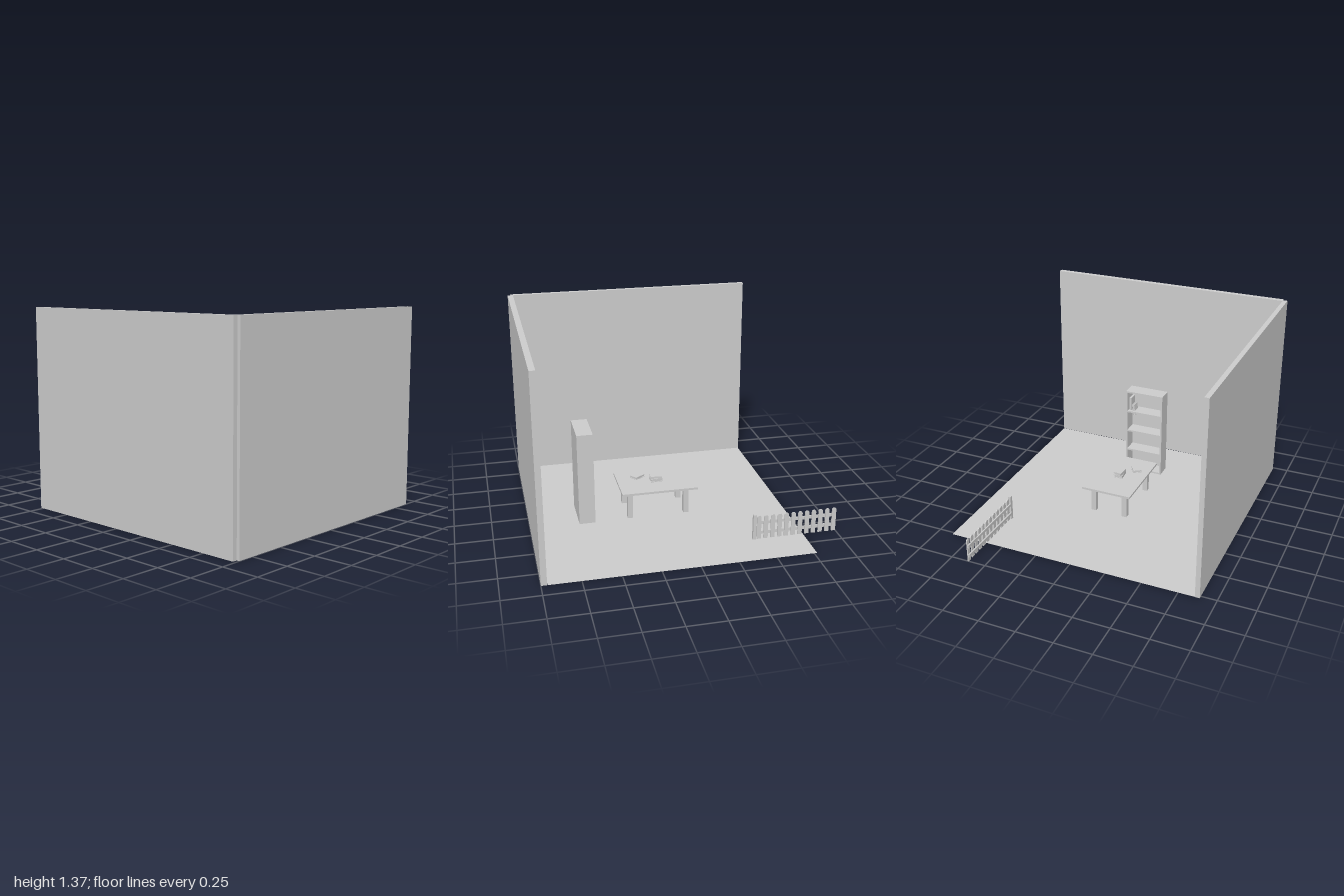
import * as THREE from 'three';

export function createModel() {
  const model = new THREE.Group();
  model.name = 'room';
  const grey = new THREE.MeshStandardMaterial({ color: 0xcccccc, side: THREE.DoubleSide });
  grey.name = 'plain grey';

  function group(name, parent = model) {
    const g = new THREE.Group();
    g.name = name;
    parent.add(g);
    return g;
  }
  function add(parent, name, geometry) {
    const m = new THREE.Mesh(geometry, grey);
    m.name = name;
    parent.add(m);
    return m;
  }
  // Box given by its minimum and maximum on each axis
  function box(parent, name, x0, x1, y0, y1, z0, z1) {
    const m = add(parent, name, new THREE.BoxGeometry(x1 - x0, y1 - y0, z1 - z0));
    m.position.set((x0 + x1) / 2, (y0 + y1) / 2, (z0 + z1) / 2);
    return m;
  }

  // Floor and two walls
  const floor = add(model, 'floor', new THREE.PlaneGeometry(1.755, 1.73).rotateX(-Math.PI / 2));
  floor.position.set(0.0145, 0, 0.095);
  box(model, 'sideWall', -0.893, -0.861, 0, 1.365, -0.772, 0.98);
  box(model, 'frontWall', -0.861, 0.892, 0, 1.365, 0.962, 1);

  // Table
  const table = group('table');
  box(table, 'tableTop', -0.165, 0.195, 0.19, 0.205, -0.157, 0.37);
  box(table, 'tableUnderframe', -0.145, 0.175, 0.18, 0.19, -0.135, 0.35);
  for (const x of [-0.102, 0.132]) {
    for (const z of [-0.084, 0.309]) {
      box(table, 'tableLeg', x - 0.018, x + 0.018, 0, 0.18, z - 0.018, z + 0.018);
    }
  }

  // Closed book: two covers, a spine and slightly smaller pages
  function book(parent, x, y, z, w, h, d, turn) {
    const b = group('book', parent);
    const t = 0.003;
    box(b, 'lowerCover', -w / 2, w / 2, 0, t, -d / 2, d / 2);
    box(b, 'upperCover', -w / 2, w / 2, h - t, h, -d / 2, d / 2);
    box(b, 'spine', -w / 2, -w / 2 + t, t, h - t, -d / 2, d / 2);
    box(b, 'pages', -w / 2 + t, w / 2 - 0.004, t, h - t, -d / 2 + 0.004, d / 2 - 0.004);
    b.position.set(x, y, z);
    b.rotation.y = turn;
    return b;
  }
  const tableBooks = group('tableBooks');
  book(tableBooks, 0.015, 0.205, 0.1, 0.062, 0.02, 0.085, 0.06);
  book(tableBooks, 0.016, 0.225, 0.1, 0.058, 0.02, 0.084, -0.08);
  book(tableBooks, -0.062, 0.205, 0.217, 0.058, 0.018, 0.085, 0.62);

  // Bookcase, open towards the room
  const bookcase = group('bookcase');
  const [bx0, bx1, bz0, bz1, t] = [-0.127, 0.16, 0.555, 0.665, 0.012];
  box(bookcase, 'bookcaseSide', bx0, bx0 + t, 0, 0.65, bz0, bz1);
  box(bookcase, 'bookcaseSide', bx1 - t, bx1, 0, 0.65, bz0, bz1);
  box(bookcase, 'bookcaseBack', bx0 + t, bx1 - t, 0, 0.65, bz1 - 0.008, bz1);
  for (let i = 0; i <= 4; i++) {
    const y = i * 0.1595;
    box(bookcase, 'shelf', bx0 + t, bx1 - t, y, y + t, bz0, bz1 - 0.008);
  }
  // Leaning book on the top shelf
  const leaning = book(bookcase, 0.115, 0.493, 0.605, 0.085, 0.018, 0.06, 0);
  leaning.rotation.z = Math.PI / 2 - 0.15;
  box(bookcase, 'standingBook', 0.125, 0.143, 0.491, 0.59, 0.575, 0.645);

  // Picket fence with round-topped pickets
  const fence = group('fence');
  box(fence, 'fencePost', 0.611, 0.632, 0, 0.178, -0.443, -0.421);
  box(fence, 'fenceRail', 0.612, 0.621, 0.03, 0.052, -1, -0.443);
  box(fence, 'fenceRail', 0.612, 0.621, 0.103, 0.124, -1, -0.443);
  const r = 0.0145;
  const outline = new THREE.Shape();
  outline.moveTo(-r, 0);
  outline.lineTo(r, 0);
  outline.lineTo(r, 0.153);
  outline.absarc(0, 0.153, r, 0, Math.PI, false);
  outline.closePath();
  const picket = new THREE.ExtrudeGeometry(outline, { depth: 0.008, bevelEnabled: false, curveSegments: 6 });
  picket.rotateY(Math.PI / 2);
  for (let i = 0; i < 12; i++) {
    add(fence, 'picket', picket).position.set(0.621, 0, -0.462 - i * 0.0476);
  }

  return model;
}
